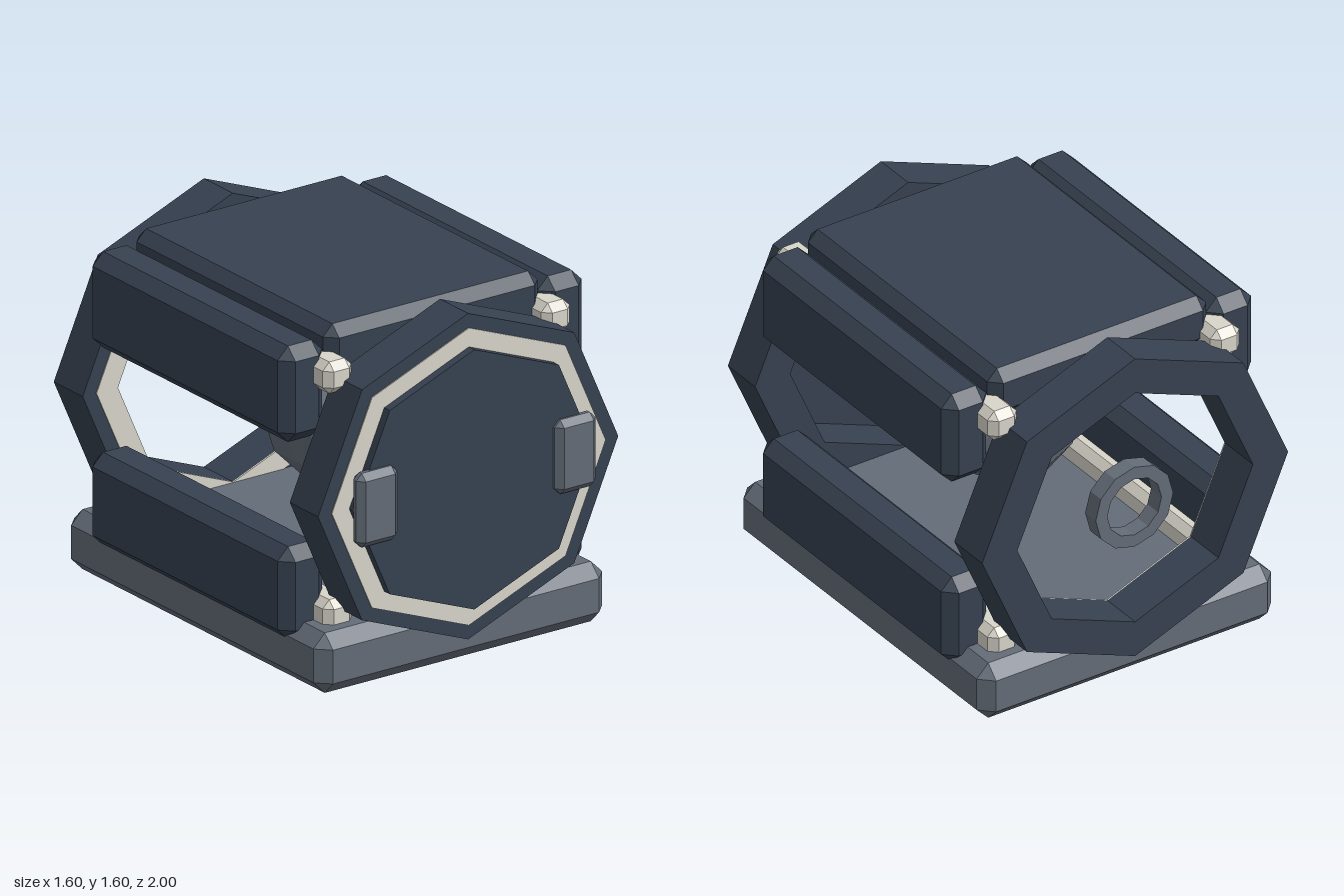
import * as THREE from 'three';
import { ConvexGeometry } from 'three/addons/geometries/ConvexGeometry.js';

const material = (color) => new THREE.MeshStandardMaterial({ color, flatShading: true });
const NAVY = material(0x364150), GREY = material(0x646c78), CREAM = material(0xd8d5ca);
const CY = 0.8525, MID_Z = -0.037;

// Box with every edge and corner cut at 45 degrees, given by its limits
function chamferBox(x0, x1, y0, y1, z0, z1, c) {
  const h = [(x1 - x0) / 2, (y1 - y0) / 2, (z1 - z0) / 2];
  const points = [];
  for (const sx of [-1, 1]) for (const sy of [-1, 1]) for (const sz of [-1, 1])
    for (let axis = 0; axis < 3; axis++) {
      const p = h.map((v, i) => (i === axis ? v : v - c));
      points.push(new THREE.Vector3(p[0] * sx, p[1] * sy, p[2] * sz));
    }
  const g = new ConvexGeometry(points);
  g.translate((x0 + x1) / 2, (y0 + y1) / 2, (z0 + z1) / 2);
  return g;
}

// Slightly flattened octagon with a corner at the top
function octagon(scale, PathType) {
  const points = [];
  for (let i = 0; i < 8; i++) {
    const a = (i * Math.PI) / 4;
    points.push(new THREE.Vector2(0.79 * scale * Math.cos(a), 0.7475 * scale * Math.sin(a)));
  }
  return new PathType(points);
}

function octagonPlate(outer, inner, z0, z1) {
  const shape = octagon(outer, THREE.Shape);
  if (inner) shape.holes.push(octagon(inner, THREE.Path));
  const g = new THREE.ExtrudeGeometry(shape, { depth: z1 - z0, bevelEnabled: false });
  g.translate(0, CY, z0);
  return g;
}

export function createModel() {
  const model = new THREE.Group();
  model.name = 'octagonalChamber';
  const add = (name, geometry, mat) => {
    const mesh = new THREE.Mesh(geometry, mat);
    mesh.name = name;
    model.add(mesh);
    return mesh;
  };

  // Base slab
  add('base', chamferBox(-0.76, 0.76, 0, 0.275, -0.975, 0.9, 0.06), GREY);

  // End frames, each with a pale trim on its forward face
  for (const [name, z0, z1] of [['front', 0.71, 0.915], ['back', -1, -0.79]]) {
    add(name + 'Frame', octagonPlate(1, 0.77, z0, z1), NAVY);
    add(name + 'Trim', octagonPlate(0.912, 0.77, z1 - 0.002, z1 + 0.005), CREAM);
  }

  // Closed front door
  add('door', octagonPlate(0.797, 0, 0.9, 0.96), NAVY);

  // Roof panel
  add('roofPanel', chamferBox(-0.565, 0.565, 1.35, 1.585, -0.76, 0.69, 0.05), NAVY);

  for (const s of [-1, 1]) {
    const side = s > 0 ? 'left' : 'right';
    const box = (a, b, ...rest) => chamferBox(Math.min(s * a, s * b), Math.max(s * a, s * b), ...rest);
    // Door handles
    add(side + 'Handle', box(0.415, 0.63, 0.685, 1.025, 0.92, 1, 0.03), GREY);
    // Side panels and the rods that carry them
    add(side + 'UpperPanel', box(0.567, 0.8, 1.095, 1.535, -0.76, 0.69, 0.055), NAVY);
    add(side + 'LowerPanel', box(0.567, 0.8, 0.19, 0.615, -0.76, 0.69, 0.055), NAVY);
    add(side + 'UpperRod', box(0.5, 0.65, 1.325, 1.47, -0.87, 0.79, 0.035), CREAM);
    add(side + 'LowerRod', box(0.5, 0.65, 0.235, 0.38, -0.87, 0.79, 0.035), CREAM);
  }

  // Faceted core floating in the middle
  const core = add('core', new THREE.IcosahedronGeometry(0.32, 1), GREY);
  core.position.set(0, CY, MID_Z);

  // Small ring in the middle of the rear opening
  const ringProfile = [[0.14, -0.04], [0.2, -0.04], [0.2, 0.04], [0.14, 0.04], [0.14, -0.04]];
  const ring = add('rearRing',
    new THREE.LatheGeometry(ringProfile.map(([r, y]) => new THREE.Vector2(r, y)), 12), GREY);
  ring.rotation.x = Math.PI / 2;
  ring.position.set(0, CY, -0.955);

  return model;
}
